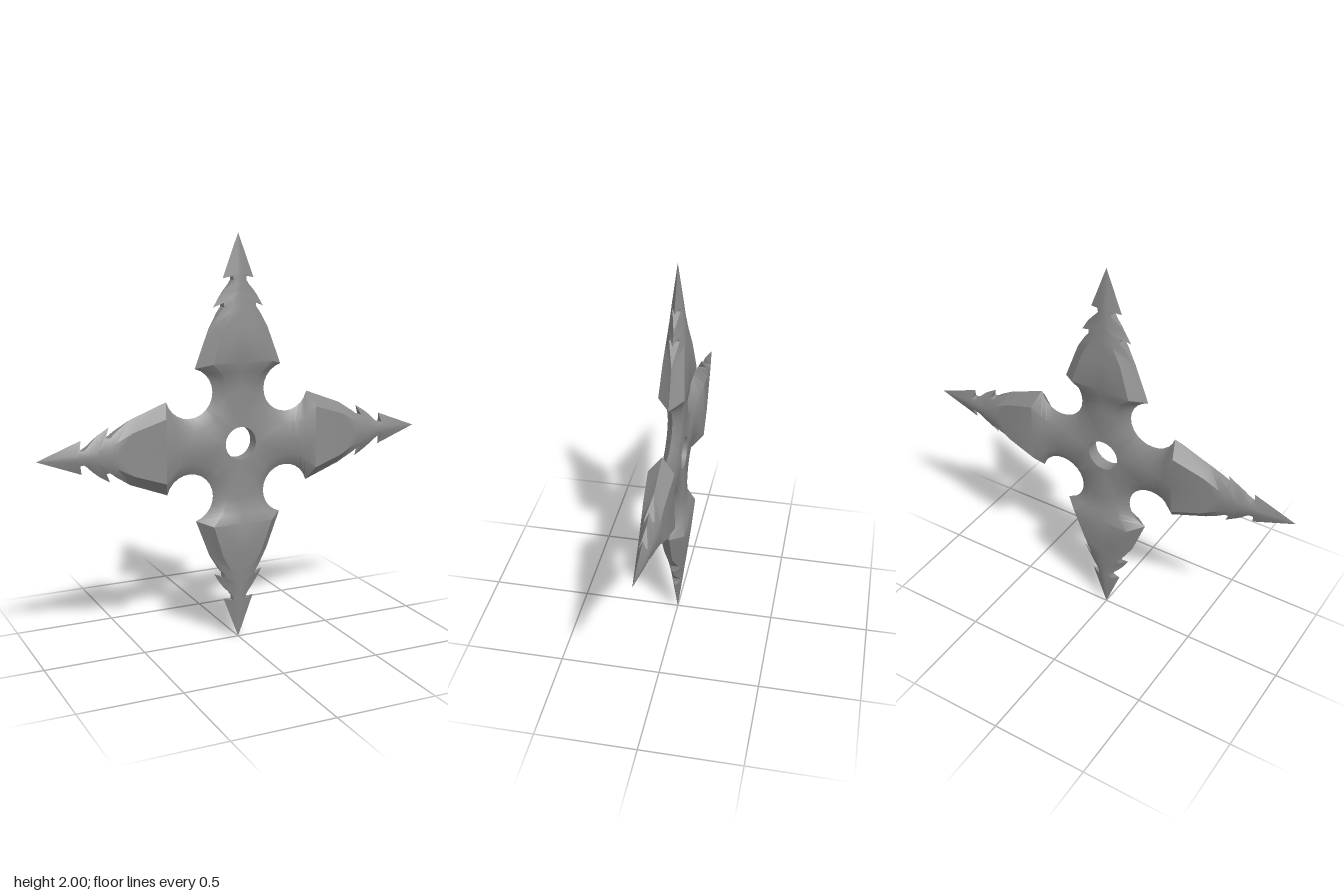
import * as THREE from 'three';
import { toCreasedNormals } from 'three/addons/utils/BufferGeometryUtils.js';

const HOLE = 0.08;
const ARC = { c: 0.255, edge: 0.12, inner: 0.175 }; // round cut-out between blades

// half thickness against distance from the centre
const THICKNESS = [[0, 0.032], [0.24, 0.032], [0.3, 0.036], [0.345, 0.046], [0.385, 0.062], [0.6, 0.046], [0.8, 0.025], [1, 0]];
function thickness(r) {
  const i = Math.max(1, THICKNESS.findIndex(([d]) => d >= r));
  const [a, b] = [THICKNESS[i - 1], THICKNESS[i]];
  return THREE.MathUtils.mapLinear(r, a[0], b[0], a[1], b[1]);
}

// blade from tip to shoulder: edge x, edge r, edge z, ridge x, ridge r
const BLADE = [
  [0, 1, 0, 0, 1],
  [0.08, 0.79, 0, 0.015, 0.82],          // first barb
  [0.035, 0.8, 0.018, 0.017, 0.8],       // its notch
  [0.033, 0.782, 0.0195, 0.018, 0.785],
  [0.05, 0.76, 0.013, 0.022, 0.76],
  [0.075, 0.735, 0.007, 0.026, 0.735],
  [0.1, 0.705, 0, 0.03, 0.72],
  [0.13, 0.655, 0, 0.035, 0.71],         // second barb
  [0.083, 0.677, 0.02, 0.042, 0.68],     // its notch
  [0.082, 0.657, 0.024, 0.05, 0.655],
  [0.105, 0.63, 0.017, 0.062, 0.63],
  [0.155, 0.555, 0, 0.104, 0.55],
  [0.225, 0.372, 0, 0.155, 0.395],       // shoulder
];

// rows of [edge, ridge, middle] points for half a blade
function halfBladeRows() {
  const rows = BLADE.map(([ex, er, ez, rx, rr]) => {
    const t = thickness(rr);
    return [[ex, er, ez], [rx, rr, t], [0, rr, t]];
  });
  // cut-out arc down to the diagonal, with the plate running in to the hole
  for (let i = 0; i <= 8; i++) {
    const a = THREE.MathUtils.degToRad(105 + 15 * i);
    const b = THREE.MathUtils.degToRad(149 + 9.5 * i);
    const x = ARC.c + ARC.inner * Math.cos(b);
    const r = ARC.c + ARC.inner * Math.sin(b);
    const t = thickness(r);
    const h = Math.PI / 2 - (i - 4) * Math.PI / 16;
    const middle = i < 4 ? [0, r, t] : [HOLE * Math.cos(h), HOLE * Math.sin(h), t];
    rows.push([[ARC.c + ARC.edge * Math.cos(a), ARC.c + ARC.edge * Math.sin(a), 0], [x, r, t], middle]);
  }
  return rows;
}

function bladeGeometry() {
  const rows = halfBladeRows();
  const positions = [];
  const va = new THREE.Vector3(), vb = new THREE.Vector3(), vc = new THREE.Vector3();
  const addTriangle = (sx, sz, a, b, c) => {
    va.fromArray(a); vb.fromArray(b).sub(va); vc.fromArray(c).sub(va);
    if (vb.cross(vc).length() < 1e-8) return; // skip collapsed faces
    const order = sx * sz > 0 ? [a, b, c] : [a, c, b];
    order.forEach(([x, y, z]) => positions.push(x * sx, y, z * sz));
  };
  for (const sx of [1, -1]) for (const sz of [1, -1]) {
    const quad = (a, b, c, d) => {
      addTriangle(sx, sz, a, b, d);
      addTriangle(sx, sz, b, c, d);
    };
    for (let i = 0; i < rows.length - 1; i++) {
      const [eA, rA, mA] = rows[i];
      const [eB, rB, mB] = rows[i + 1];
      quad(eA, rA, rB, eB); // bevel
      quad(rA, mA, mB, rB); // raised face
      quad(eA, eB, [eB[0], eB[1], 0], [eA[0], eA[1], 0]); // notch wall
    }
  }
  const geometry = new THREE.BufferGeometry();
  geometry.setAttribute('position', new THREE.Float32BufferAttribute(positions, 3));
  return toCreasedNormals(geometry, 0.65);
}

export function createModel() {
  const group = new THREE.Group();
  group.name = 'throwingStar';
  const material = new THREE.MeshStandardMaterial({ color: 0x8c8c8c }); // dark steel
  const geometry = bladeGeometry();

  // four equal blades that meet along the diagonals of the hub
  ['top', 'left', 'bottom', 'right'].forEach((side, i) => {
    const blade = new THREE.Mesh(geometry, material);
    blade.name = side + 'Blade';
    blade.position.y = 1;
    blade.rotation.z = [0, -1, 2, 1][i] * Math.PI / 2;
    group.add(blade);
  });

  // inside wall of the centre hole
  const wallMaterial = material.clone();
  wallMaterial.side = THREE.DoubleSide;
  const wall = new THREE.Mesh(new THREE.CylinderGeometry(HOLE, HOLE, 2 * thickness(HOLE), 32, 1, true), wallMaterial);
  wall.name = 'centreHoleWall';
  wall.rotation.x = Math.PI / 2;
  wall.position.y = 1;
  group.add(wall);
  return group;
}
